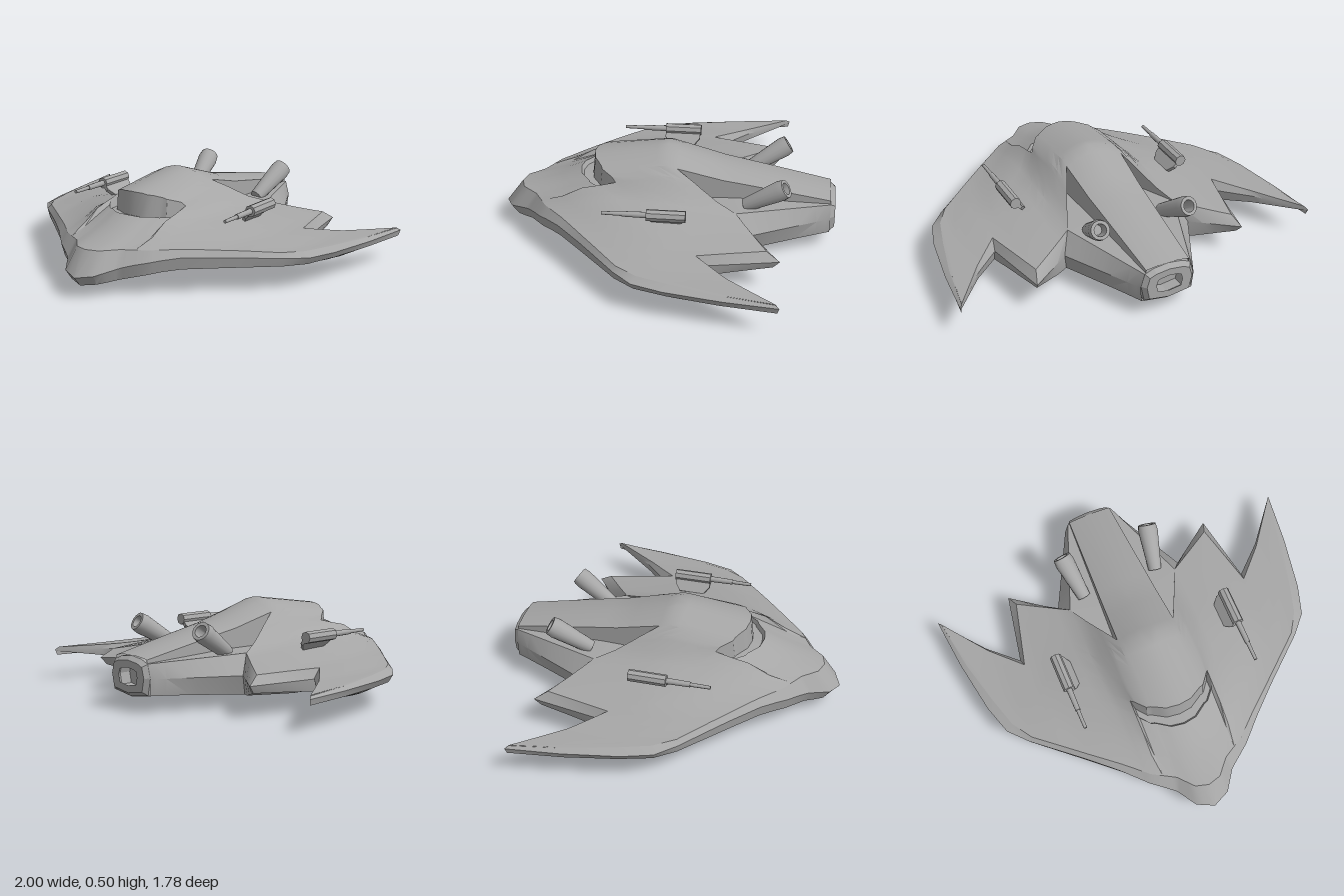
import * as THREE from 'three';
import { mergeGeometries, toCreasedNormals } from 'three/addons/utils/BufferGeometryUtils.js';

const { lerp, smoothstep } = THREE.MathUtils;
const material = new THREE.MeshStandardMaterial({ color: 0xa6a6a6, side: THREE.DoubleSide });

// Piecewise linear curve through rows of [key, v1, v2, ...]; returns the values
function sample(rows, key) {
  const up = rows[rows.length - 1][0] > rows[0][0] ? 1 : -1;
  let i = 0;
  while (i < rows.length - 2 && (key - rows[i + 1][0]) * up > 0) i++;
  const a = rows[i], b = rows[i + 1];
  const t = Math.min(1, Math.max(0, (key - a[0]) / (b[0] - a[0])));
  return a.slice(1).map((v, n) => lerp(v, b[n + 1], t));
}
const curve = rows => key => sample(rows, key)[0];

// Rim stations: top edge x, z then the widest edge x, z
const front = [[0, .80, 0, .89], [.07, .78, .09, .85], [.14, .70, .16, .75], [.26, .63, .28, .66],
  [.38, .52, .40, .54], [.52, .40, .54, .41], [.76, .19, .78, .20], [.83, .08, .87, .10],
  [.88, -.09, .92, -.06], [.94, -.33, .97, -.35], [.985, -.61, 1, -.63]];
const wingRear = [[.31, -.38, .36, -.45], [.565, -.55, .59, -.62], [.65, -.20, .66, -.25],
  [.80, -.36, .81, -.39], [.985, -.61, 1, -.63]];
const rear = [[0, -.87, 0, -.87], [.13, -.87, .15, -.87], ...wingRear];
const skinRear = curve([[0, -.06], [.16, -.06], ...wingRear]);
const columns = [...new Set([...front, ...wingRear].map(r => r[0])
  .concat(.04, .1, .13, .16, .205, .22, .28, .45, .61))].sort((a, b) => a - b);

// Height rules
const rimTop = curve([[0, .235], [.4, .235], [.6, .22], [.8, .20], [1, .175]]);
const rimMid = curve([[0, .11], [.09, .125], [.2, .165], [.38, .20], [.6, .19], [1, .165]]);
const rearMid = curve([[0, .18], [.36, .17], [1, .165]]);
const rimLow = curve([[0, .06], [.1, .075], [.36, .135], [.8, .135], [1, .135]]);
const lowRidge = curve([[.8, .28], [.47, .34], [0, .36], [-.4, .30], [-.87, .22]]);
const spread = curve([[0, 1], [.2, .92], [.4, .6], [.6, .3], [.8, .1], [1, 0]]);
const ridge = curve([[.40, .44], [0, .50], [-.3, .40], [-.87, .28]]);
const dome = curve([[0, 1], [.04, .98], [.1, .87], [.16, .69], [.205, .48], [.22, .39], [.26, .16], [.31, 0]]);
const keel = curve([[.85, .06], [-.13, 0], [-.87, .07]]);
const rise = curve([[0, 0], [.2, .03], [.4, .045], [.6, .09], [1, .11]]);
const low = (x, z) => .18 + (lowRidge(z) - .18) * spread(x);
const top = (x, z) => low(x, z) + (ridge(z) - low(x, z)) * dome(x);
const belly = (x, z) => keel(z) + rise(x);

// Surface through a grid of points
function surface(points) {
  const out = [];
  for (let i = 0; i < points.length - 1; i++)
    for (let j = 0; j < points[i].length - 1; j++) {
      const a = points[i][j], b = points[i + 1][j], c = points[i + 1][j + 1], d = points[i][j + 1];
      out.push(...a, ...b, ...c, ...a, ...c, ...d);
    }
  const g = new THREE.BufferGeometry();
  g.setAttribute('position', new THREE.Float32BufferAttribute(out, 3));
  return g;
}

function mirrored(g) {
  const m = g.clone(), p = m.attributes.position;
  for (let i = 0; i < p.count; i += 3) {
    const v = [0, 2, 1].map(k => new THREE.Vector3().fromBufferAttribute(g.attributes.position, i + k));
    v.forEach((q, k) => p.setXYZ(i + k, -q.x, q.y, q.z));
  }
  return m;
}

function addPart(group, name, geometry) {
  const mesh = new THREE.Mesh(geometry, material);
  mesh.name = name;
  group.add(mesh);
  return mesh;
}

function addSymmetric(group, name, pieces) {
  const half = pieces.map(surface);
  addPart(group, name, toCreasedNormals(mergeGeometries([...half, ...half.map(mirrored)]), .5));
}

// Rim cross-section at a column: top, widest and bottom points
function rimSection(stations, x, topY, midY, lowY) {
  const [z, mx, mz] = sample(stations, x);
  const bx = (x + mx) / 2, bz = (z + mz) / 2;
  return [[x, topY, z], [mx, midY(mx), mz], [bx, lowY(bx, bz), bz]];
}

// Upper skin height at fraction k from front rim to rear edge, with the window slot under the hood
function skinY(x, z, k) {
  if (x > .21) {
    const base = lerp(low(x, z), top(x, z), smoothstep(k, .15, .6));
    return lerp(rimTop(x), base, Math.min(1, k / .26));
  }
  if (k < .38) return lerp(rimTop(x), low(x, z), k / .38);
  if (k > .46) return top(x, z);
  return low(x, z) - (k > .39 ? .025 : 0);
}

function addHull(group) {
  const rows = [0, .13, .26, .38, .395, .455, .47, .54, .62, .70, .78, .86, .93, 1];
  const skin = columns.map(x => {
    const zf = sample(front, x)[0], zr = skinRear(x);
    return rows.map(k => {
      const z = lerp(zf, zr, k);
      return [x, skinY(x, z, k), z];
    });
  });
  addSymmetric(group, 'upperHull', [skin]);

  // Notches either side of the tail spine
  const shoulder = top(.31, -.38);
  const floorY = z => lerp(shoulder, .25, Math.max(0, (-.38 - z) / .49));
  const spineX = z => lerp(.16, .12, (-.06 - z) / .81);
  const outerX = curve([[-.06, .16], [-.38, .31], [-.87, .13]]);
  const stations = [-.06, -.14, -.22, -.30, -.38, -.5, -.62, -.75, -.87];
  const spine = columns.filter(x => x <= .16).map(x => stations.map(z => {
    const px = x / .16 * spineX(z);
    return [px, top(px, z), z];
  }));
  const spineWall = stations.map(z => [[spineX(z), floorY(z), z], [spineX(z), top(spineX(z), z), z]]);
  const floor = [spineX, outerX].map(f => stations.map(z => [f(z), floorY(z), z]));
  const notchWall = columns.filter(x => x >= .16 && x <= .31)
    .map(x => [[x, top(x, skinRear(x)), skinRear(x)], [x, floorY(skinRear(x)), skinRear(x)]]);
  addSymmetric(group, 'tailSpine', [spine, spineWall, floor, notchWall]);

  // Bevelled rim and the keeled belly
  const frontRim = columns.map(x => rimSection(front, x, rimTop(x), rimMid, rimLow));
  const rearRim = columns.map(x => {
    const z = sample(rear, x)[0];
    return rimSection(rear, x, x < .31 ? floorY(z) : top(x, z), rearMid, belly);
  });
  addSymmetric(group, 'rim', [frontRim.map(s => [...s].reverse()), rearRim.filter((s, i) => columns[i] >= .13)]);
  const bottom = columns.map((c, i) => {
    const a = rearRim[i][2], b = frontRim[i][2];
    return Array.from({ length: 13 }, (_, j) => {
      const x = lerp(a[0], b[0], j / 12), z = lerp(a[2], b[2], j / 12);
      return [x, lerp(belly(x, z), rimLow(x), Math.max(0, j / 12 - .6) / .4), z];
    });
  });
  addSymmetric(group, 'belly', [bottom]);
}

// Hollow, bevelled exhaust frame at the tail
function addExhaust(group) {
  const half = [[0, .28], [.08, .27], [.13, .25], [.15, .18], [.13, .09], [0, .07]];
  const loop = s => [...half, ...half.slice(1, -1).reverse().map(([x, y]) => [-x, y])]
    .map(([x, y]) => new THREE.Vector2(x * s, .175 + (y - .175) * s));
  const frame = new THREE.Shape(loop(.98));
  frame.holes.push(new THREE.Path(loop(.62)));
  const bevel = { depth: .06, bevelThickness: .025, bevelSize: .02, bevelOffset: -.02, bevelSegments: 1 };
  addPart(group, 'exhaustFrame', new THREE.ExtrudeGeometry(frame, bevel)).position.z = -.87;
  addPart(group, 'exhaustBack', new THREE.ShapeGeometry(new THREE.Shape(loop(.8)))).position.z = -.81;
}

function tube(r1, r2, length, sides, z) {
  return new THREE.CylinderGeometry(r1, r2, length, sides).rotateX(Math.PI / 2).translate(0, 0, z);
}

function createForwardGun(side) {
  const gun = new THREE.Group();
  gun.name = 'forwardGun';
  addPart(gun, 'housing', toCreasedNormals(tube(.031, .031, .2, 8, -.035), .5));
  addPart(gun, 'barrelSleeve', tube(.014, .016, .13, 10, .125));
  addPart(gun, 'barrel', tube(.009, .011, .12, 10, .235));
  // Tapered strut leaning in toward the hull
  const strut = new THREE.Shape([[-.13, 0], [.065, 0], [.065, -.05], [.035, -.09], [-.10, -.09], [-.13, -.05]]
    .map(p => new THREE.Vector2(...p)));
  const geometry = new THREE.ExtrudeGeometry(strut, { depth: .02, bevelEnabled: false })
    .translate(0, 0, -.01).rotateY(-Math.PI / 2).rotateZ(-side * .72);
  addPart(gun, 'strut', geometry);
  gun.position.set(side * .488, .342, 0);
  return gun;
}

function createRearCannon(side) {
  const profile = [[0, 0], [.036, 0], [.054, .215], [.049, .25], [.032, .25], [.026, .17], [0, .17]];
  const geometry = new THREE.LatheGeometry(profile.map(p => new THREE.Vector2(...p)), 16);
  const cannon = new THREE.Mesh(toCreasedNormals(geometry, .6), material);
  cannon.name = 'rearCannon';
  cannon.position.set(side * .21, .27, -.425);
  const axis = new THREE.Vector3(side * .04, .13, -.205).normalize();
  cannon.quaternion.setFromUnitVectors(new THREE.Vector3(0, 1, 0), axis);
  return cannon;
}

export function createModel() {
  const craft = new THREE.Group();
  craft.name = 'hoverCraft';
  addHull(craft);
  addExhaust(craft);
  for (const side of [-1, 1]) craft.add(createForwardGun(side), createRearCannon(side));
  return craft;
}
